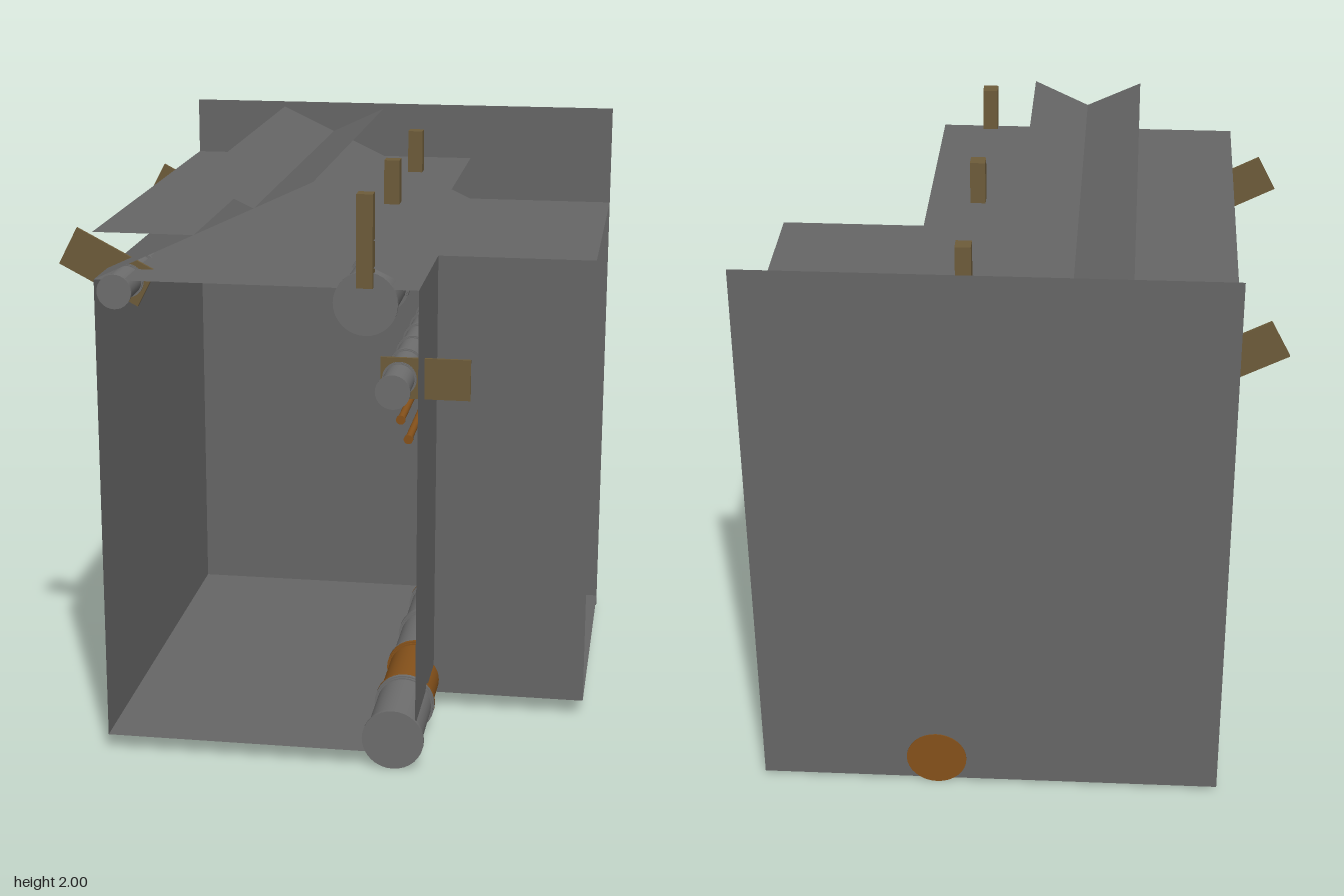
import * as THREE from 'three';

const wallMat = new THREE.MeshStandardMaterial({ color: 0x666666, side: THREE.DoubleSide });
wallMat.name = 'wallGrey';
const pipeMat = new THREE.MeshStandardMaterial({ color: 0x6e6e6e });
pipeMat.name = 'pipeGrey';
const copperMat = new THREE.MeshStandardMaterial({ color: 0x85511a });
copperMat.name = 'copper';
const bracketMat = new THREE.MeshStandardMaterial({ color: 0x6e5c3a });
bracketMat.name = 'bracketBrown';

const BACK = -0.797, FRONT = 0.78, LEFT = 0.87, RIGHT = -0.71, INNER = 0.34, NOTCH = 0.25;
const FLOOR = 0.06, CEILING = 1.645;

export function createModel() {
  const model = new THREE.Group();
  model.name = 'pipeCorridor';

  const add = (name, geometry, material, x = 0, y = 0, z = 0, parent = model) => {
    const mesh = new THREE.Mesh(geometry, material);
    mesh.name = name;
    mesh.position.set(x, y, z);
    parent.add(mesh);
    return mesh;
  };

  // Upright or sloping sheet: an edge in x/y swept from z0 to z1
  const sheet = (name, [x0, y0], [x1, y1], z0 = BACK, z1 = FRONT) => {
    const geo = new THREE.PlaneGeometry(Math.hypot(x1 - x0, y1 - y0), z1 - z0);
    geo.rotateX(-Math.PI / 2);
    geo.rotateZ(Math.atan2(y1 - y0, x1 - x0));
    add(name, geo, wallMat, (x0 + x1) / 2, (y0 + y1) / 2, (z0 + z1) / 2);
  };

  // Sheet facing the front
  const facing = (name, x0, x1, y0, y1, z) =>
    add(name, new THREE.PlaneGeometry(x1 - x0, y1 - y0), wallMat, (x0 + x1) / 2, (y0 + y1) / 2, z);

  // L-shaped floor and ceiling
  const plan = new THREE.Shape([
    [RIGHT, BACK], [LEFT, BACK], [LEFT, NOTCH], [INNER, NOTCH], [INNER, FRONT], [RIGHT, FRONT],
  ].map(([x, z]) => new THREE.Vector2(x, z)));
  for (const [name, y, turn] of [['floor', FLOOR, 1], ['ceiling', CEILING, 1]]) {
    const geo = new THREE.ShapeGeometry(plan);
    geo.rotateX(turn * Math.PI / 2);
    add(name, geo, wallMat, 0, y, 0);
  }

  // Walls
  facing('backWall', RIGHT, LEFT, 0.02, 2, BACK);
  facing('sideRoomWall', INNER, LEFT, FLOOR, CEILING, NOTCH);
  sheet('rightWall', [RIGHT, FLOOR], [RIGHT, CEILING]);
  sheet('innerWall', [INNER, FLOOR], [INNER, CEILING], NOTCH, FRONT);

  // Crossed roof panels with a flat panel through them
  sheet('roofPanelRising', [RIGHT, CEILING], [0.005, 1.98]);
  sheet('roofPanelFalling', [-0.375, 1.98], [INNER, CEILING]);
  sheet('roofPanelFlat', [RIGHT, 1.8], [INNER, 1.8]);

  // Pipe along z: one tube per segment, each with a stepped collar at both ends
  const pipe = (name, x, y, r, collarR, collarW, materials, zBack = -0.796) => {
    const group = new THREE.Group();
    group.name = name;
    group.position.set(x, y, 0);
    model.add(group);
    const step = (FRONT - zBack) / materials.length;
    const tube = (part, radius, length, z, mat) => {
      const geo = new THREE.CylinderGeometry(radius, radius, length, 32);
      geo.rotateX(Math.PI / 2);
      add(part, geo, mat, 0, 0, z, group);
    };
    materials.forEach((mat, i) => {
      const z1 = FRONT - i * step, z0 = z1 - step;
      tube('pipeSegment', r, step, (z0 + z1) / 2, mat);
      for (const [end, dir] of [[z1, -1], [z0, 1]]) {
        tube('collar', collarR, collarW, end + dir * collarW / 2, mat);
        tube('collarLip', (r + collarR) / 2, collarW * 1.5, end + dir * collarW * 0.75, mat);
      }
    });
  };
  const grey = n => Array(n).fill(pipeMat);
  pipe('floorPipe', 0.265, 0.107, 0.094, 0.104, 0.014,
    [pipeMat, copperMat, pipeMat, pipeMat, copperMat], -0.8);
  pipe('ceilingPipe', 0.17, 1.596, 0.094, 0.104, 0.014, grey(5));
  pipe('wallPipe', 0.258, 1.31, 0.05, 0.057, 0.008, grey(9));
  pipe('cornerPipe', -0.645, 1.606, 0.05, 0.057, 0.008, grey(9));
  pipe('upperThinPipe', 0.285, 1.22, 0.012, 0.015, 0.01, Array(3).fill(copperMat));
  pipe('lowerThinPipe', 0.31, 1.156, 0.012, 0.015, 0.01, Array(3).fill(copperMat));

  // Bracket plates holding the pipes
  const plate = (name, x, y, z, w, h, tilt = 0) => {
    add(name, new THREE.BoxGeometry(w, h, 0.01), bracketMat, x, y, z).rotation.z = tilt;
  };
  for (const z of [0.605, -0.627]) {
    plate('wallPipeBracket', 0.343, 1.312, z, 0.295, 0.137);
    plate('cornerPipeBracket', -0.71, 1.648, z, 0.295, 0.137, -0.48);
  }
  for (const z of [0.258, -0.54]) plate('upperThinPipeBracket', 0.334, 1.219, z, 0.14, 0.05);
  plate('lowerThinPipeBracket', 0.316, 1.157, -0.005, 0.052, 0.055);

  // Hanger posts above the ceiling pipe
  for (const z of [0.775, 0.147, -0.487]) {
    add('hangerPost', new THREE.BoxGeometry(0.052, 0.3, 0.05), bracketMat, 0.17, 1.8, z);
  }

  return model;
}
